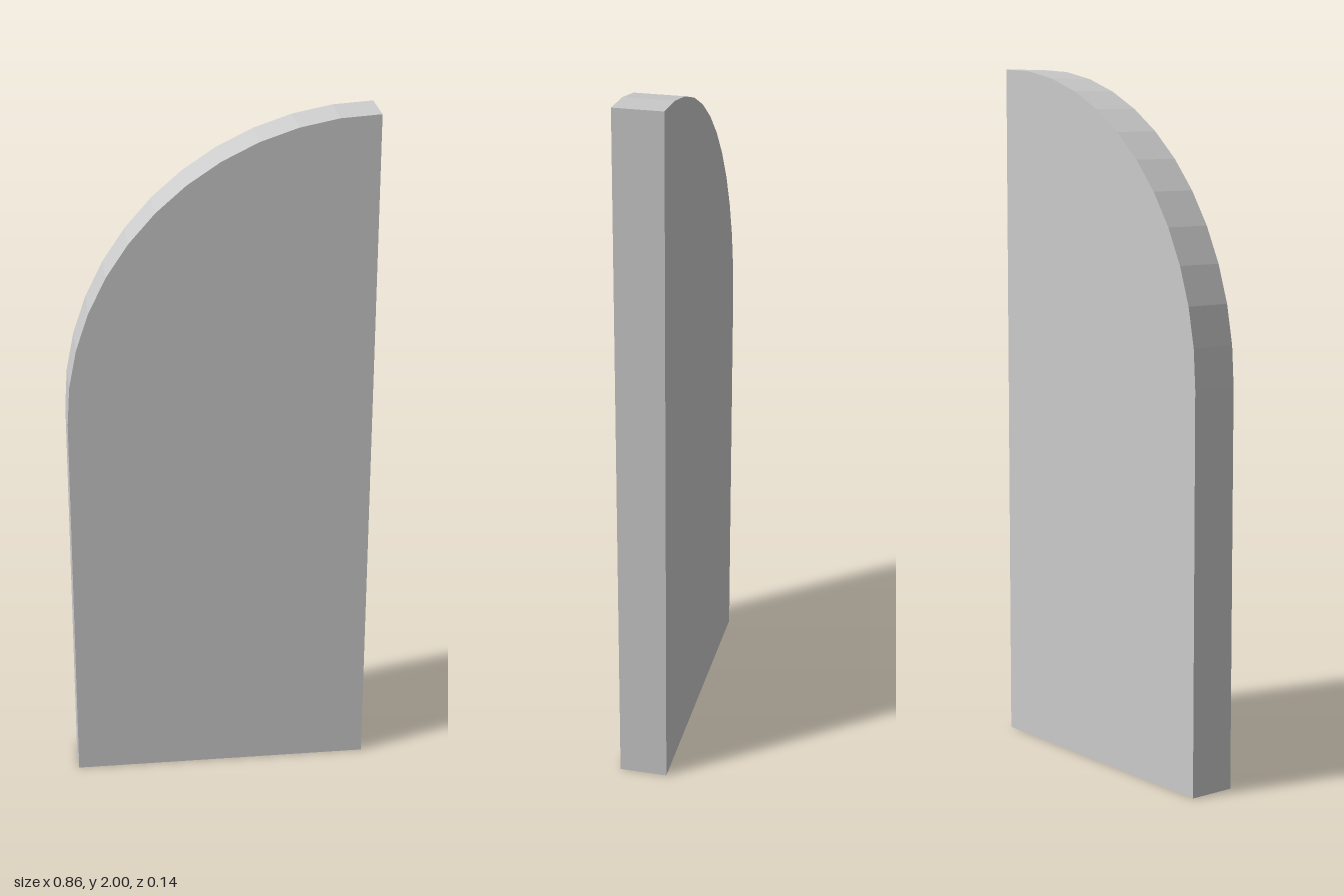
import * as THREE from 'three';

export function createModel() {
  const half = 0.432, height = 2, depth = 0.137, radius = 2 * half;

  // Upright slab outline with one quarter-round upper corner
  const outline = new THREE.Shape();
  outline.moveTo(-half, 0);
  outline.lineTo(half, 0);
  outline.lineTo(half, height);
  outline.absarc(half, height - radius, radius, Math.PI / 2, Math.PI, false);
  outline.closePath();

  // An arc gets two divisions per curve segment: 12 facets
  const geometry = new THREE.ExtrudeGeometry(outline, {
    depth, bevelEnabled: false, curveSegments: 6,
  });
  geometry.translate(0, 0, -depth / 2);

  const panel = new THREE.Mesh(
    geometry,
    new THREE.MeshStandardMaterial({ color: 0xcccccc, flatShading: true }),
  );
  panel.name = 'roundedPanel';

  const model = new THREE.Group();
  model.name = 'quarterRoundPanel';
  model.add(panel);
  return model;
}
